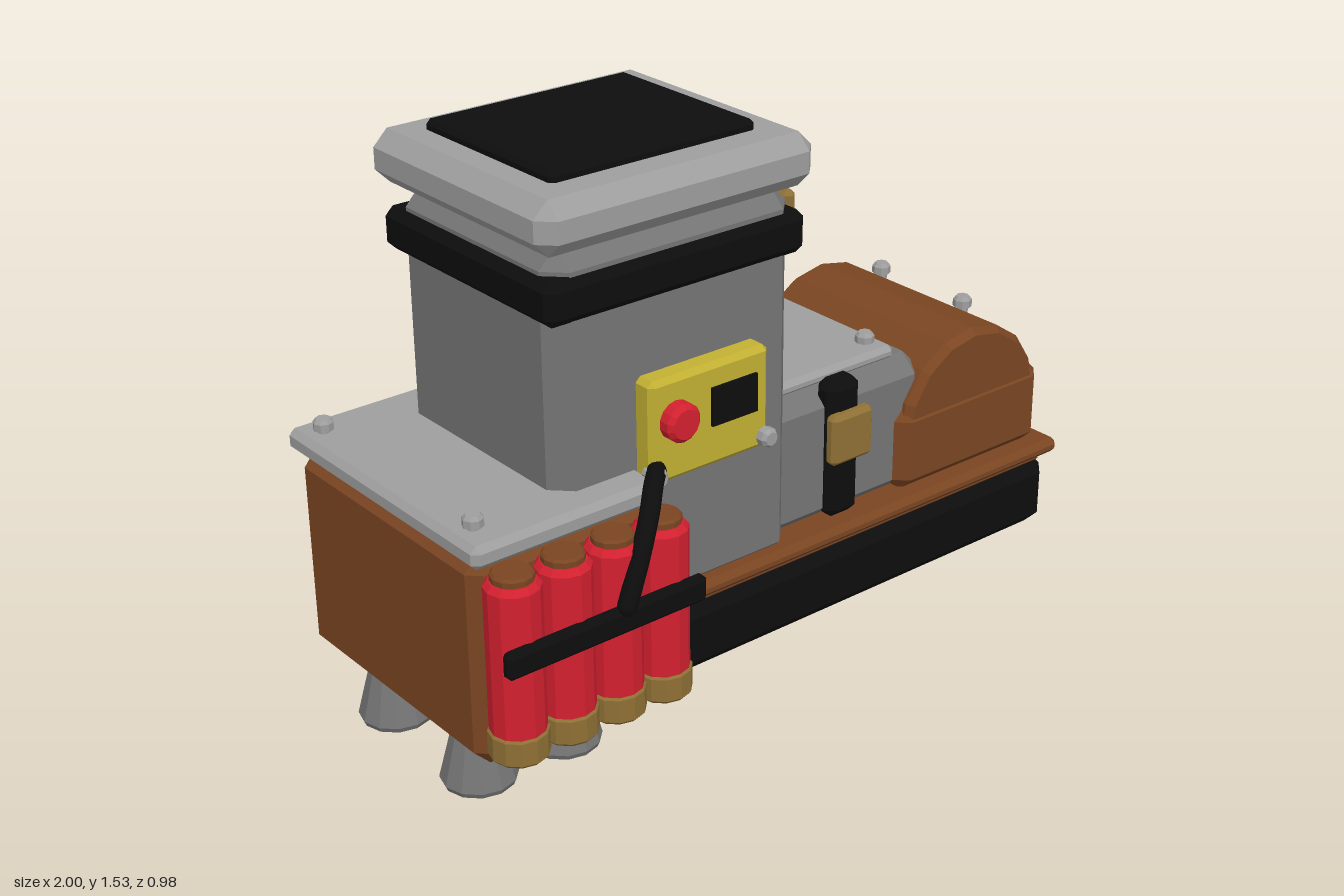
import * as THREE from 'three';
import { ConvexGeometry } from 'three/addons/geometries/ConvexGeometry.js';

const material = (name, color) => {
  const m = new THREE.MeshStandardMaterial({ color });
  m.name = name;
  return m;
};

export function createModel() {
  const model = new THREE.Group();
  model.name = 'jetpackMachine';

  const steel = material('steel grey', 0x757575);
  const pale = material('pale grey', 0x9e9e9e);
  const black = material('black', 0x0d0d0d);
  const brown = material('brown', 0x7a4522);
  const red = material('red', 0xd3202f);
  const brass = material('brass', 0x8f7035);
  const yellow = material('yellow', 0xc2b032);

  const add = (name, geometry, mat, parent = model) => {
    const mesh = new THREE.Mesh(geometry, mat);
    mesh.name = name;
    parent.add(mesh);
    return mesh;
  };

  const flat = (geometry) => {
    const g = geometry.index ? geometry.toNonIndexed() : geometry;
    g.computeVertexNormals();
    return g;
  };

  // Box given by its limits, with every edge chamfered by c
  const box = (name, mat, [x0, x1], [y0, y1], [z0, z1], c) => {
    const half = [(x1 - x0) / 2, (y1 - y0) / 2, (z1 - z0) / 2];
    const points = [];
    for (const sx of [-1, 1]) for (const sy of [-1, 1]) for (const sz of [-1, 1])
      for (let full = 0; full < 3; full++) {
        const p = half.map((h, i) => (i === full ? h : h - c));
        points.push(new THREE.Vector3(sx * p[0], sy * p[1], sz * p[2]));
      }
    const mesh = add(name, new ConvexGeometry(points), mat);
    mesh.position.set((x0 + x1) / 2, (y0 + y1) / 2, (z0 + z1) / 2);
    return mesh;
  };

  // Turned part from [radius, height] pairs, bottom to top
  const turned = (name, mat, profile, sides, parent) =>
    add(name, flat(new THREE.LatheGeometry(profile.map(([r, y]) => new THREE.Vector2(r, y)), sides)), mat, parent);

  const bolt = (x, y, z, forward = false) => {
    const mesh = turned('bolt', pale, [[0.016, -0.02], [0.016, 0.008], [0.026, 0.008], [0.026, 0.028], [0.018, 0.038], [0, 0.038]], 8);
    mesh.position.set(x, y, z);
    if (forward) mesh.rotation.x = Math.PI / 2;
  };

  // Base and tray
  box('base', black, [-0.62, 0.985], [0.145, 0.36], [-0.43, 0.265], 0.045);
  box('trayUnderside', brown, [-0.6, 0.96], [0.34, 0.385], [-0.41, 0.245], 0.01);
  box('tray', brown, [-0.62, 1.0], [0.365, 0.41], [-0.445, 0.275], 0.016);

  // Tower with strap, buckle and cap
  box('tower', steel, [-0.69, 0.04], [0.37, 1.37], [-0.4, 0.24], 0.05);
  box('towerStrap', black, [-0.715, 0.055], [1.2, 1.31], [-0.425, 0.26], 0.022);
  box('towerBuckle', brass, [0.05, 0.09], [1.18, 1.33], [0.03, 0.18], 0.012);
  box('cap', pale, [-0.735, 0.075], [1.37, 1.505], [-0.445, 0.28], 0.04);
  box('capPanel', black, [-0.63, -0.03], [1.49, 1.53], [-0.345, 0.165], 0.012);

  // Control panel
  box('controlPanel', yellow, [-0.465, -0.1], [0.745, 1.015], [0.23, 0.3], 0.014);
  add('screen', new THREE.BoxGeometry(0.14, 0.1, 0.009), black).position.set(-0.215, 0.905, 0.304);
  const button = turned('button', red, [[0.05, 0], [0.05, 0.03], [0.038, 0.042], [0, 0.042]], 14);
  button.position.set(-0.39, 0.905, 0.298);
  button.rotation.x = Math.PI / 2;
  for (const x of [-0.46, -0.12]) bolt(x, 0.78, 0.295, true);

  // Side tank and its cover plate
  box('sideTank', brown, [-0.975, -0.455], [0.165, 0.73], [-0.475, 0.31], 0.045);
  box('tankPlate', pale, [-0.985, -0.455], [0.715, 0.775], [-0.49, 0.325], 0.016);
  for (const [x, z] of [[-0.925, -0.41], [-0.925, 0.235], [-0.51, -0.41]]) bolt(x, 0.775, z);

  // Four exhaust nozzles
  for (const x of [-0.86, -0.605]) for (const z of [-0.265, 0.105]) {
    const nozzle = new THREE.Group();
    nozzle.name = 'nozzle';
    nozzle.position.set(x, 0, z);
    model.add(nozzle);
    turned('nozzleBell', steel, [[0, 0.008], [0.064, 0.008], [0.092, 0.008], [0.098, 0.022], [0.066, 0.145], [0.055, 0.18]], 12, nozzle);
    turned('nozzleOpening', black, [[0, 0], [0.064, 0], [0.064, 0.009]], 12, nozzle);
  }

  // Row of red canisters with brass feet
  for (let i = 0; i < 4; i++) {
    const canister = new THREE.Group();
    canister.name = 'canister';
    canister.position.set(-0.924 + i * 0.14, 0, 0.38);
    model.add(canister);
    turned('canisterBody', red, [[0.068, 0.32], [0.068, 0.695], [0.056, 0.71], [0, 0.71]], 12, canister);
    turned('canisterFoot', brass, [[0, 0.25], [0.066, 0.25], [0.073, 0.258], [0.073, 0.318], [0.066, 0.326], [0, 0.326]], 12, canister);
    turned('canisterLid', brown, [[0.052, 0.7], [0.052, 0.724], [0.046, 0.73], [0, 0.73]], 12, canister);
  }
  box('canisterBand', black, [-1.0, -0.43], [0.505, 0.575], [0.432, 0.468], 0.012);

  // Hose from the panel to the canisters
  const path = new THREE.CatmullRomCurve3([
    [-0.45, 0.79, 0.3], [-0.5, 0.785, 0.35], [-0.56, 0.755, 0.41], [-0.62, 0.68, 0.45], [-0.67, 0.58, 0.465],
  ].map((p) => new THREE.Vector3(...p)));
  add('hose', new THREE.TubeGeometry(path, 16, 0.024, 8), black);
  for (const t of [0, 1]) {
    add('hoseEnd', new THREE.SphereGeometry(0.024, 8, 6), black).position.copy(path.getPoint(t));
  }

  // Middle box with lid and straps
  box('middleBox', steel, [-0.02, 0.54], [0.39, 0.78], [-0.375, 0.205], 0.05);
  box('middleLid', pale, [-0.02, 0.455], [0.77, 0.81], [-0.335, 0.165], 0.014);
  for (const x of [0.045, 0.41]) bolt(x, 0.8, 0.095);
  box('frontStrap', black, [0.17, 0.28], [0.41, 0.8], [0.155, 0.235], 0.025);
  box('backStrap', black, [0.17, 0.28], [0.41, 0.8], [-0.41, -0.33], 0.025);
  box('strapBuckle', brass, [0.155, 0.295], [0.58, 0.72], [0.22, 0.26], 0.012);

  // Domed trunk at the end
  box('trunk', brown, [0.415, 0.96], [0.4, 0.65], [-0.4, 0.24], 0.04);
  const arch = new THREE.Shape();
  const steps = 8;
  for (let i = 0; i <= steps; i++) {
    const a = (Math.PI * i) / steps;
    arch[i ? 'lineTo' : 'moveTo'](0.685 + 0.235 * Math.cos(a), 0.56 + 0.235 * Math.sin(a));
  }
  arch.closePath();
  add('trunkDome', flat(new THREE.ExtrudeGeometry(arch, {
    depth: 0.59, bevelEnabled: true, bevelThickness: 0.02, bevelSize: 0.018, bevelSegments: 1,
  })), brown).position.z = -0.375;
  for (const z of [-0.25, 0.07]) bolt(0.8, 0.79, z);

  return model;
}
